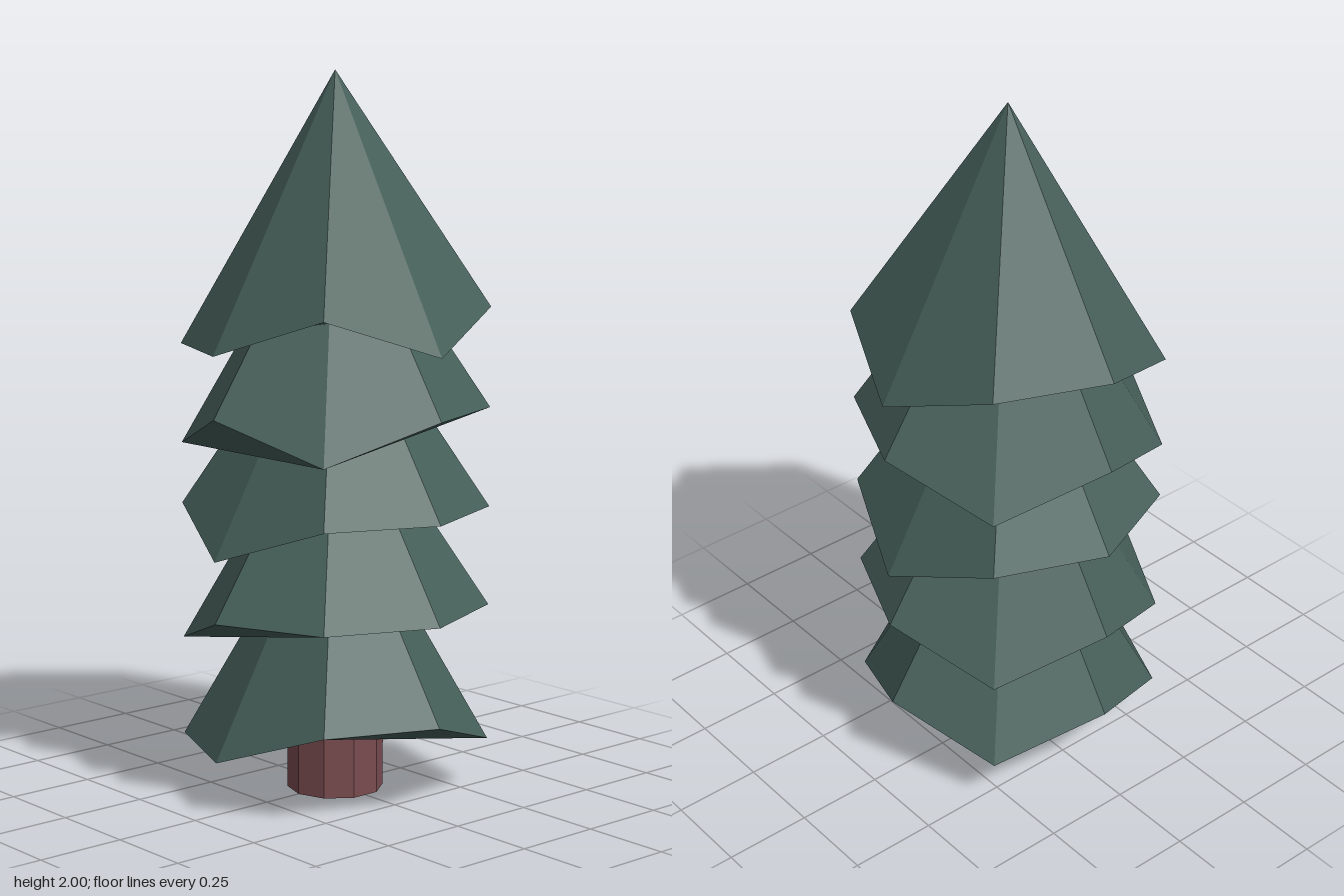
import * as THREE from 'three';

const RADIUS = 0.427;   // rim radius of every tier
const HEIGHT = 0.64;    // apex above the raised rim corners
const DROP = 0.107;     // how far a drooping corner hangs
const SPACING = 0.277;  // vertical step between tiers

// Rim corners run from +z towards +x; 1 marks a drooping corner (top tier first)
const DROOPS = ['10100110', '00010101', '00100010', '00010100', '01010110'];

// Triangles closing the underside: four ears and a split square
const UNDERSIDE = [[1, 0, 7], [3, 2, 1], [5, 4, 3], [7, 6, 5], [7, 5, 1], [5, 3, 1]];

function tierGeometry(apexY, droops) {
  const apex = [0, apexY, 0];
  const rim = [...droops].map((d, k) => {
    const a = (k * Math.PI) / 4;
    return [RADIUS * Math.sin(a), apexY - HEIGHT - DROP * Number(d), RADIUS * Math.cos(a)];
  });
  const points = [];
  rim.forEach((p, k) => points.push(apex, p, rim[(k + 1) % 8]));
  UNDERSIDE.forEach((tri) => tri.forEach((k) => points.push(rim[k])));
  const geometry = new THREE.BufferGeometry();
  geometry.setAttribute('position', new THREE.Float32BufferAttribute(points.flat(), 3));
  geometry.computeVertexNormals();
  return geometry;
}

export function createModel() {
  const needles = new THREE.MeshStandardMaterial({ color: 0x47605a });
  needles.name = 'needle green';
  const bark = new THREE.MeshStandardMaterial({ color: 0x7a4c50 });
  bark.name = 'bark brown';

  const tree = new THREE.Group();
  tree.name = 'tree';

  // Ten-sided trunk, running up into the lowest tier
  const trunkGeometry = new THREE.CylinderGeometry(0.135, 0.135, 0.4, 10).toNonIndexed();
  trunkGeometry.computeVertexNormals();
  const trunk = new THREE.Mesh(trunkGeometry, bark);
  trunk.name = 'trunk';
  trunk.position.y = 0.2;
  trunk.rotation.y = Math.PI / 10;
  tree.add(trunk);

  // Stacked foliage tiers with uneven rims
  DROOPS.forEach((droops, i) => {
    const tier = new THREE.Mesh(tierGeometry(2 - i * SPACING, droops), needles);
    tier.name = `foliageTier${DROOPS.length - i}`;
    tree.add(tier);
  });

  return tree;
}
